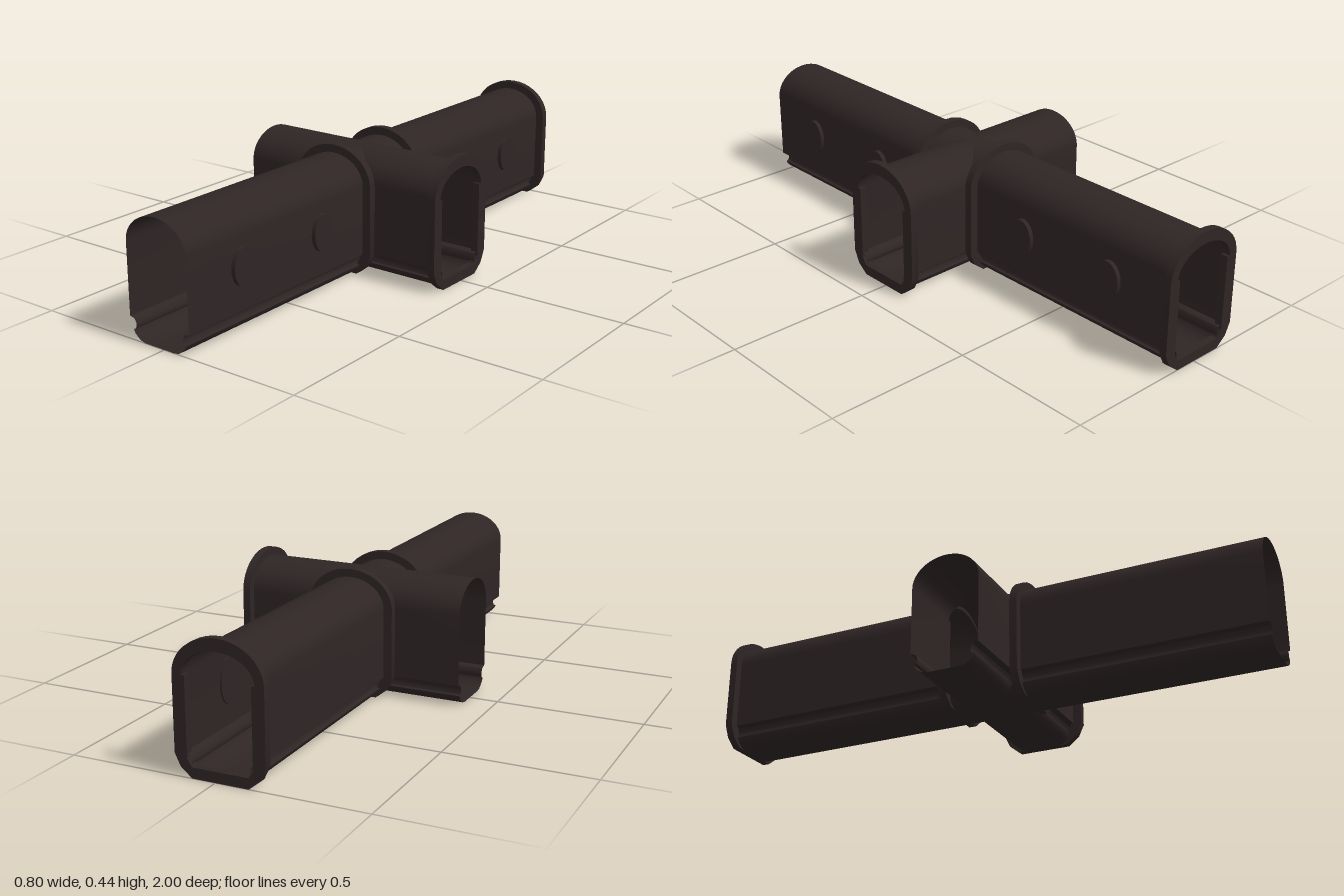
import * as THREE from 'three';
import { toCreasedNormals } from 'three/addons/utils/BufferGeometryUtils.js';

const CX = -0.017, CZ = 0.012; // centre of the crossing

// Upper half-ellipse from right to left, as [u, y] pairs
function arch(a, b, y0, n) {
  return Array.from({ length: n + 1 }, (_, i) => {
    const t = Math.PI * i / n;
    return [i * 2 === n ? 0 : a * Math.cos(t), y0 + b * Math.sin(t)];
  });
}

const mirror = pts => pts.map(([u, y]) => [-u, y]).reverse();

// Corridor section: curved belly, side groove, straight wall, arched roof
function tubeProfile() {
  const low = [[0.06, 0], [0.078, 0.004], [0.094, 0.014], [0.105, 0.026], [0.108, 0.035],
    [0.1, 0.038], [0.096, 0.047], [0.097, 0.059], [0.103, 0.069], [0.112, 0.073], [0.122, 0.075]];
  return [[0, 0], ...low, ...arch(0.122, 0.098, 0.315, 24), ...mirror(low), [0, 0]];
}

// Arm along +z whose inner end is mitred so that four arms form a groin vault
function armGeometry(length) {
  const p = tubeProfile(), v = [];
  for (let i = 0; i < p.length - 1; i++) {
    const [u0, y0] = p[i], [u1, y1] = p[i + 1];
    const a = [u0, y0, Math.abs(u0)], b = [u1, y1, Math.abs(u1)];
    const c = [u1, y1, length], d = [u0, y0, length];
    v.push(...a, ...b, ...c, ...a, ...c, ...d);
  }
  const g = new THREE.BufferGeometry();
  g.setAttribute('position', new THREE.Float32BufferAttribute(v, 3));
  g.computeVertexNormals();
  return toCreasedNormals(g, 0.6);
}

const toPoints = pts => pts.map(([u, y]) => new THREE.Vector2(u, y));

// Flanged frame around the corridor section
function collarGeometry(depth) {
  const outer = [[0.094, 0], [0.132, 0.03], [0.152, 0.072]];
  const inner = [[0.094, 0.035], [0.11, 0.06], [0.11, 0.315]];
  const shape = new THREE.Shape(toPoints([...outer, ...arch(0.152, 0.125, 0.315, 20), ...mirror(outer)]));
  shape.holes.push(new THREE.Path(toPoints([...inner, ...arch(0.121, 0.085, 0.315, 20), ...mirror(inner)])));
  const g = new THREE.ExtrudeGeometry(shape, { depth, bevelEnabled: false });
  return toCreasedNormals(g, 0.5);
}

export function createModel() {
  const group = new THREE.Group();
  group.name = 'corridorJunction';
  const hull = new THREE.MeshStandardMaterial({ color: 0x2f2525, side: THREE.DoubleSide });
  hull.name = 'dark brown hull';

  // Arms: name, turn about y, length, start and end of each collar
  const arms = [
    ['frontArm', 0, 1 - CZ, [[0.122, 0.149]]],
    ['backArm', Math.PI, 1 + CZ, [[0.122, 0.149], [0.986, 1.012]]],
    ['leftArm', Math.PI / 2, 0.397 - CX, [[0.388, 0.414]]],
    ['rightArm', -Math.PI / 2, 0.4 + CX, []],
  ];
  for (const [name, turn, length, collars] of arms) {
    const arm = new THREE.Group();
    arm.name = name;
    arm.position.set(CX, 0, CZ);
    arm.rotation.y = turn;
    const tube = new THREE.Mesh(armGeometry(length - (collars.length && collars.at(-1)[1] > 0.3 ? 0.005 : 0)), hull);
    tube.name = name + 'Tube';
    arm.add(tube);
    for (const [start, end] of collars) {
      const collar = new THREE.Mesh(collarGeometry(end - start), hull);
      collar.name = end > 0.3 ? 'endCollar' : 'junctionCollar';
      collar.position.z = start;
      arm.add(collar);
    }
    group.add(arm);
  }

  // Oval hatches along one side of the long corridor
  for (const z of [0.765, 0.385, -0.358, -0.737]) {
    const hatch = new THREE.Group();
    hatch.name = 'ovalHatch';
    hatch.position.set(0, 0.22, z);
    for (const [name, x0, x1, rz, ry] of [['hatchPlate', 0.103, 0.12, 0.046, 0.064], ['hatchBacking', 0.098, 0.104, 0.052, 0.078]]) {
      const geo = new THREE.CylinderGeometry(1, 1, x1 - x0, 24);
      geo.rotateZ(-Math.PI / 2).scale(1, ry, rz);
      const mesh = new THREE.Mesh(geo, hull);
      mesh.name = name;
      mesh.position.x = (x0 + x1) / 2;
      hatch.add(mesh);
    }
    group.add(hatch);
  }
  return group;
}
